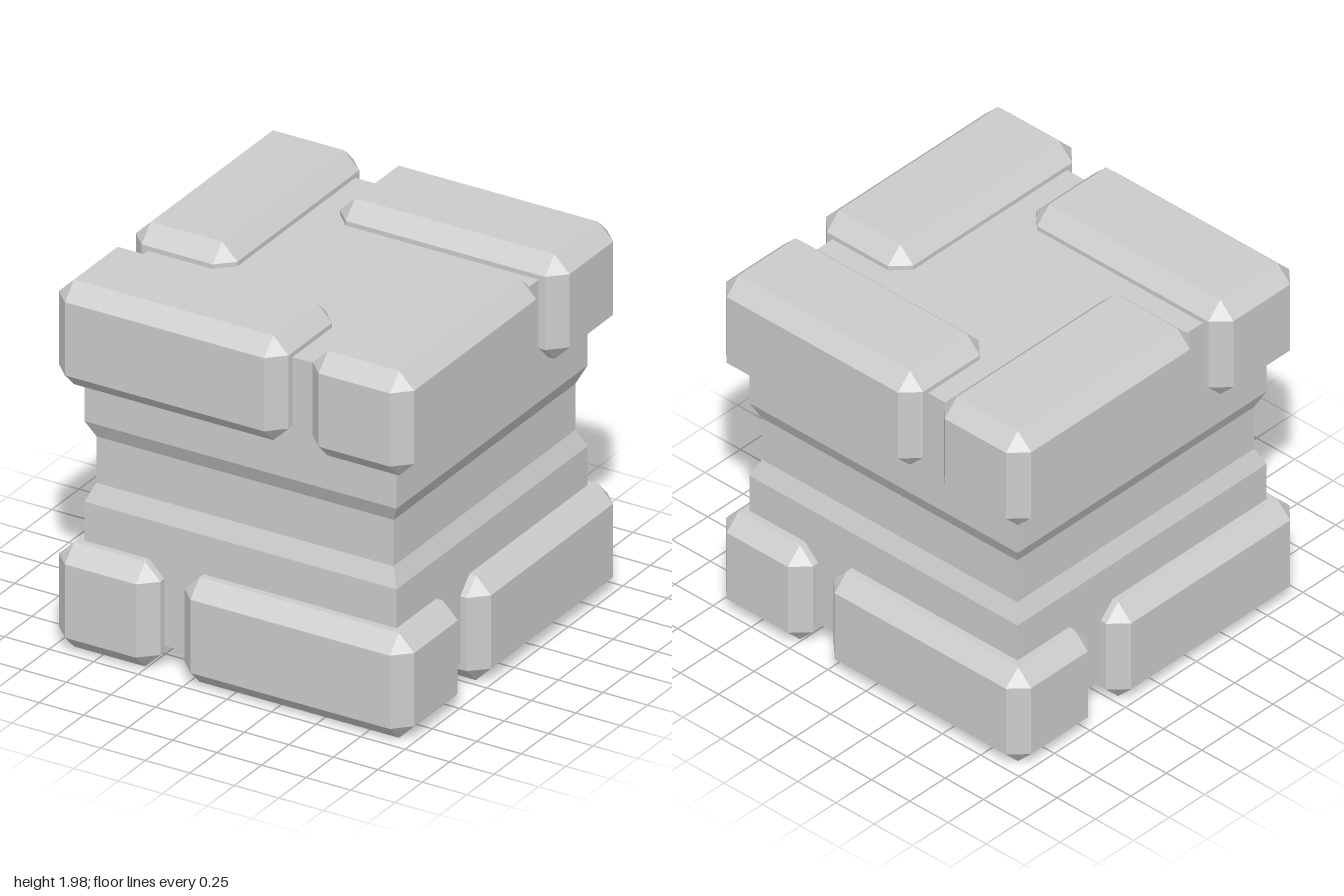
import * as THREE from 'three';
import { ConvexGeometry } from 'three/addons/geometries/ConvexGeometry.js';

const material = new THREE.MeshStandardMaterial({ color: 0xcccccc, flatShading: true });

// Box with every edge cut at 45 degrees, leaving a triangle at each corner.
function chamferedBox(w, h, d, c) {
  const points = [];
  for (const sx of [-1, 1]) for (const sy of [-1, 1]) for (const sz of [-1, 1]) {
    const x = w / 2, y = h / 2, z = d / 2;
    points.push(
      new THREE.Vector3(sx * x, sy * (y - c), sz * (z - c)),
      new THREE.Vector3(sx * (x - c), sy * y, sz * (z - c)),
      new THREE.Vector3(sx * (x - c), sy * (y - c), sz * z));
  }
  return new ConvexGeometry(points);
}

// Profile of [half width, y] pairs turned into a solid with flat sides facing the axes.
function prism(name, profile, sides) {
  const k = 1 / Math.cos(Math.PI / sides);
  const points = profile.map(([r, y]) => new THREE.Vector2(r * k, y));
  const mesh = new THREE.Mesh(
    new THREE.LatheGeometry(points, sides, Math.PI / sides, Math.PI * 2), material);
  mesh.name = name;
  return mesh;
}

// Four bricks chasing each other around the block.
function brickRing(name, offsetX, y) {
  const ring = new THREE.Group();
  ring.name = name;
  const geometry = chamferedBox(1.29, 0.565, 0.57, 0.085);
  geometry.translate(offsetX, y, 0.713);
  ['front', 'left', 'back', 'right'].forEach((side, i) => {
    const brick = new THREE.Mesh(geometry, material);
    brick.name = side + 'Brick';
    brick.rotation.y = i * Math.PI / 2;
    ring.add(brick);
  });
  return ring;
}

export function createModel() {
  const model = new THREE.Group();
  model.name = 'stoneBlock';

  // Square core with a shallow groove around its waist
  model.add(prism('core', [
    [0, 0.12], [0.877, 0.12], [0.877, 0.775], [0.835, 0.87],
    [0.835, 1.12], [0.877, 1.21], [0.877, 1.87], [0, 1.87],
  ], 4));

  // Top and bottom rings turn in opposite directions
  model.add(brickRing('topBricks', -0.353, 1.6975));
  model.add(brickRing('bottomBricks', 0.353, 0.2825));

  // Octagonal stud under the core
  model.add(prism('bottomStud', [
    [0, 0.025], [0.15, 0.03], [0.26, 0.065], [0.26, 0.13],
  ], 8));

  return model;
}
